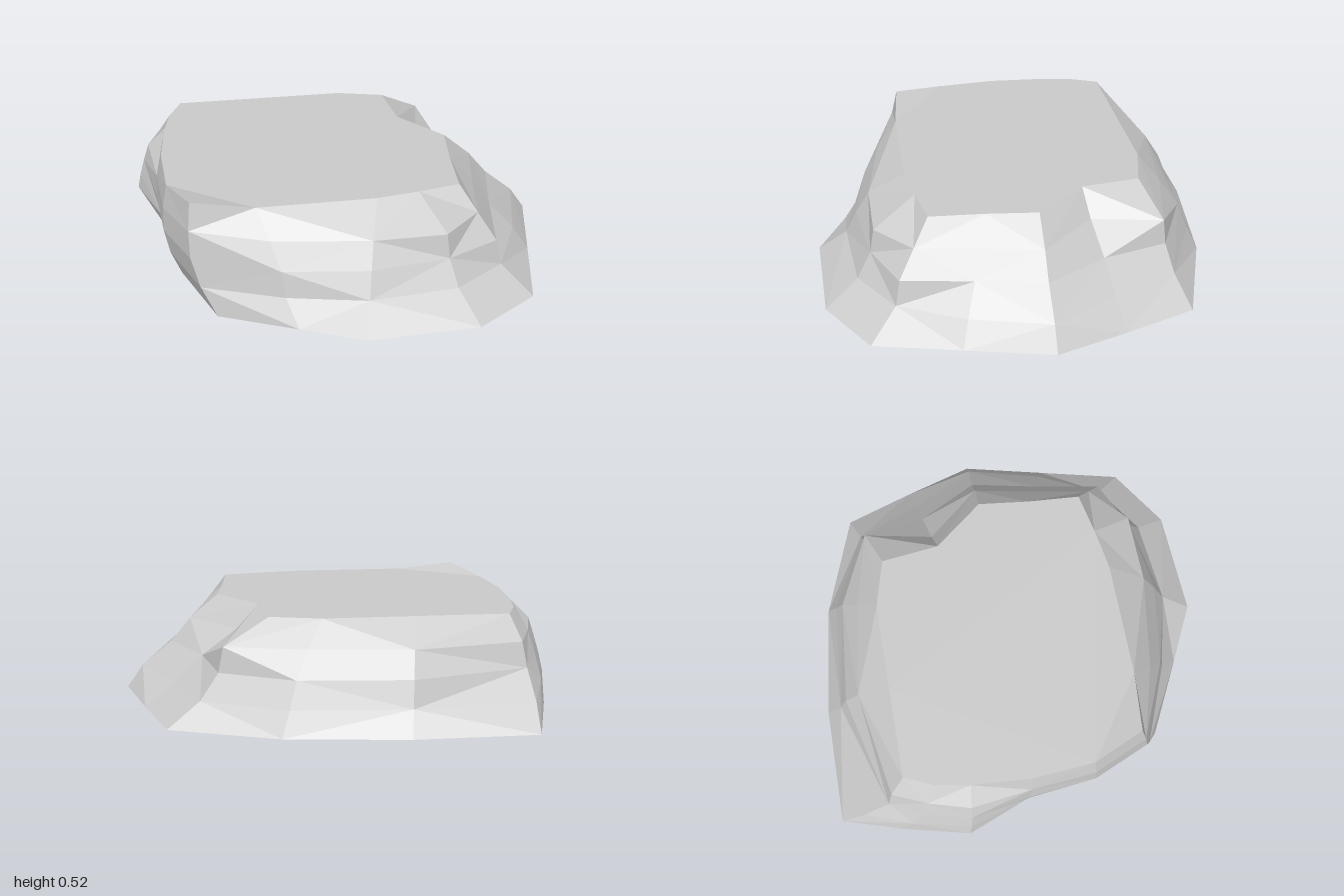
import * as THREE from 'three';

// One row per column of the rock, going round from the back right corner:
// foot x, y, z, rim x, z, then how far in the column has come at each ledge.
const COLUMNS = [
  [-0.81, 0.03, -0.97, -0.75, -0.62, 0.35, 0.72, 0.8],
  [-0.25, 0.03, -0.97, -0.32, -0.62, 0.22, 0.34, 0.55],
  [0.3, 0.03, -0.9, 0.1, -0.62, 0.18, 0.35, 0.65],
  [0.79, 0.03, -0.72, 0.33, -0.56, 0.32, 0.5, 0.55],
  [0.9, 0.03, -0.38, 0.36, -0.28, 0.25, 0.5, 0.8],
  [1.0, 0.03, -0.04, 0.55, -0.04, 0.17, 0.49, 0.7],
  [0.9, 0.03, 0.36, 0.52, 0.2, 0.2, 0.5, 0.72],
  [0.8, 0.03, 0.76, 0.5, 0.46, 0.42, 0.5, 0.75],
  [0.5, 0.03, 0.95, 0.3, 0.5, 0.35, 0.5, 0.55],
  [-0.02, 0.03, 0.97, 0.1, 0.53, 0.32, 0.45, 0.6],
  [-0.3, 0.02, 0.83, -0.45, 0.53, 0.3, 0.4, 0.65],
  [-0.65, 0.0, 0.65, -0.74, 0.5, 0.4, 0.65, 0.8],
  [-0.8, 0.02, 0.3, -0.84, 0.26, 0.4, 0.6, 0.8],
  [-0.85, 0.03, -0.06, -0.86, -0.04, 0.3, 0.5, 0.75],
  [-1.0, 0.14, -0.36, -0.84, -0.32, 0.3, 0.55, 0.65],
  [-0.91, 0.08, -0.68, -0.81, -0.48, 0.3, 0.6, 0.75],
];
const LEVELS = [0, 0.24, 0.5, 0.75, 1];
const RIM = 0.485;

// Rings of points from the foot to the rim; the right side swells a little.
function makeRings() {
  return LEVELS.map((level, k) => COLUMNS.map(([x, y, z, rx, rz, ...inset], i) => {
    const t = k === 0 ? 0 : k === 4 ? 1 : inset[k - 1];
    const swell = rx < -0.7 ? 0.045 * Math.sin(Math.PI * level) : 0;
    const top = i === 11 ? 0.52 : RIM; // one raised corner
    return new THREE.Vector3(
      Math.max(-1, THREE.MathUtils.lerp(x, rx, t) - swell),
      THREE.MathUtils.lerp(y, top, level),
      THREE.MathUtils.lerp(z, rz, t));
  }));
}

function meshFrom(name, points, material) {
  const geometry = new THREE.BufferGeometry().setFromPoints(points);
  geometry.computeVertexNormals();
  const mesh = new THREE.Mesh(geometry, material);
  mesh.name = name;
  return mesh;
}

// Flat cap over a ring, facing up or down
function cap(ring, up) {
  const faces = THREE.ShapeUtils.triangulateShape(ring.map(p => new THREE.Vector2(p.x, p.z)), []);
  return faces.flatMap(([a, b, c]) => {
    const [p, q, r] = [ring[a], ring[b], ring[c]];
    const normalY = (q.z - p.z) * (r.x - p.x) - (q.x - p.x) * (r.z - p.z);
    return (normalY > 0) === up ? [p, q, r] : [p, r, q];
  });
}

export function createModel() {
  const rock = new THREE.Group();
  rock.name = 'flatRock';
  const material = new THREE.MeshStandardMaterial({ color: 0xcccccc, flatShading: true });
  const rings = makeRings();

  // Craggy sides, with alternating diagonals
  const sides = [];
  for (let k = 0; k < rings.length - 1; k++) {
    for (let i = 0; i < COLUMNS.length; i++) {
      const j = (i + 1) % COLUMNS.length;
      const [a, b, c, d] = [rings[k][i], rings[k][j], rings[k + 1][j], rings[k + 1][i]];
      if ((i + k) % 2) sides.push(a, d, b, b, d, c);
      else sides.push(a, d, c, a, c, b);
    }
  }
  rock.add(meshFrom('rockSides', sides, material));
  rock.add(meshFrom('rockTop', cap(rings[4], true), material));
  rock.add(meshFrom('rockUnderside', cap(rings[0], false), material));
  return rock;
}
